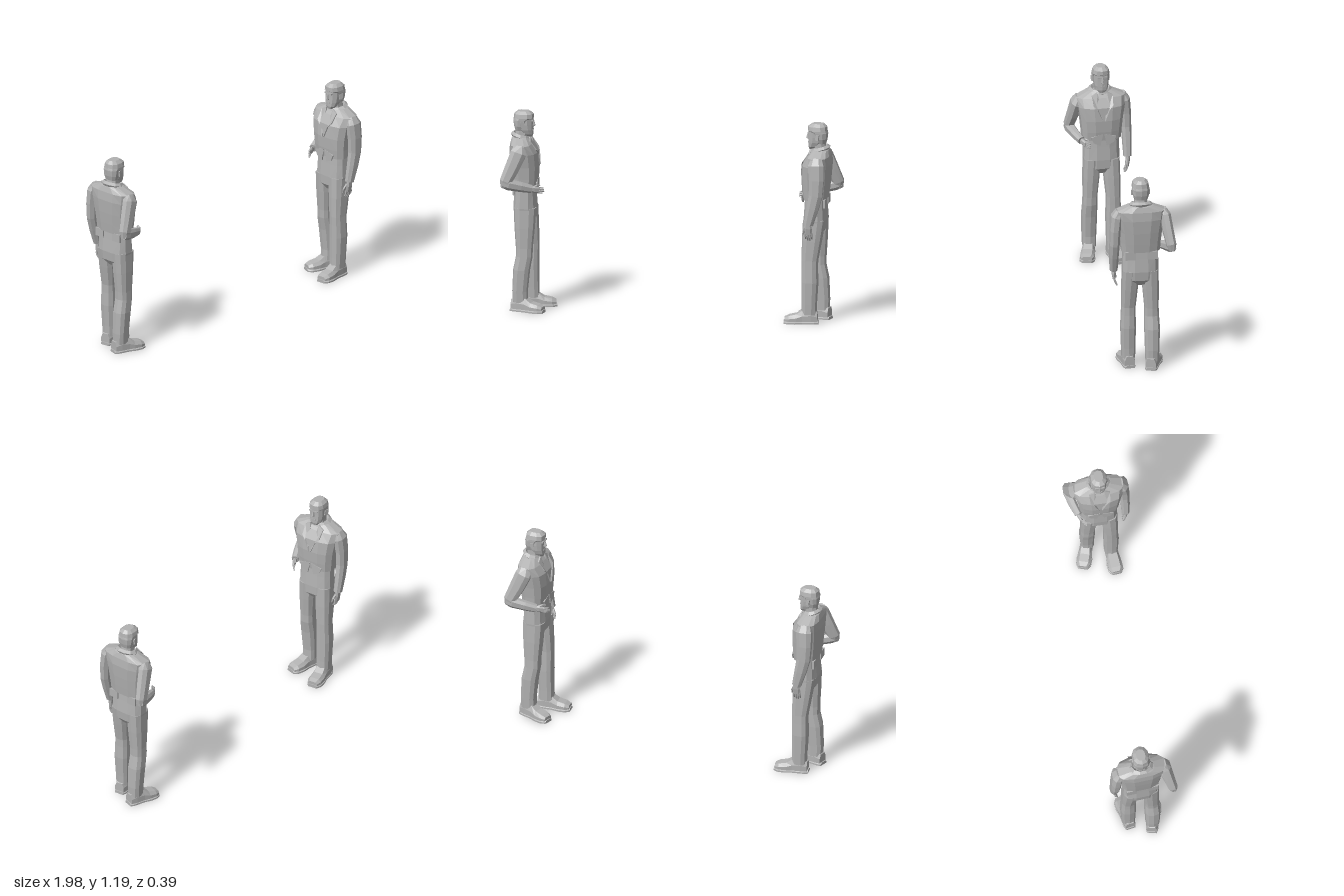
import * as THREE from 'three';

const cloth = new THREE.MeshStandardMaterial({ color: 0xb2b2b2 });
cloth.name = 'plain grey';
cloth.flatShading = true;
cloth.side = THREE.DoubleSide;
const V = (x, y, z) => new THREE.Vector3(x, y, z);

function add(parent, name, geometry, x = 0, y = 0, z = 0) {
  const m = new THREE.Mesh(geometry, cloth);
  m.name = name;
  m.position.set(x, y, z);
  parent.add(m);
  return m;
}

// Closed skin through rings of points, wound so that it faces outward
function skin(rings) {
  const n = rings[0].length, tris = [];
  const centre = (r) => r.reduce((s, p) => s.add(p), V(0, 0, 0)).divideScalar(n);
  for (let i = 0; i < rings.length - 1; i++)
    for (let j = 0; j < n; j++) {
      const k = (j + 1) % n, a = rings[i], b = rings[i + 1];
      tris.push([a[j], a[k], b[k]], [a[j], b[k], b[j]]);
    }
  const first = rings[0], last = rings[rings.length - 1];
  const c0 = centre(first), c1 = centre(last);
  for (let j = 0; j < n; j++) {
    const k = (j + 1) % n;
    tris.push([c0, first[k], first[j]], [c1, last[j], last[k]]);
  }
  const volume = tris.reduce((s, [a, b, c]) => s + a.dot(b.clone().cross(c)), 0);
  const pts = tris.flatMap(([a, b, c]) => (volume < 0 ? [a, c, b] : [a, b, c]));
  const g = new THREE.BufferGeometry().setFromPoints(pts);
  g.computeVertexNormals();
  return g;
}

// Squarish unit outline
function outline(n, power = 0.75) {
  return Array.from({ length: n }, (_, i) => {
    const t = ((i + 0.5) / n) * Math.PI * 2, c = Math.cos(t), s = Math.sin(t);
    return [Math.sign(c) * Math.abs(c) ** power, Math.sign(s) * Math.abs(s) ** power];
  });
}

// Horizontal sections: [y, centre x, centre z, half width, half depth]
const stack = (sections, n = 10, power = 0.75) => skin(sections.map(([y, cx, cz, rx, rz]) =>
  outline(n, power).map(([u, v]) => V(cx + u * rx, y, cz + v * rz))));

// Sections across a bending path: [x, y, z, half width, half depth]
function limb(path, n = 8) {
  const p = path.map(([x, y, z]) => V(x, y, z));
  return skin(path.map(([, , , rw, rd], i) => {
    const dir = p[Math.min(i + 1, p.length - 1)].clone().sub(p[Math.max(i - 1, 0)]).normalize();
    const w = V(1, 0, 0).addScaledVector(dir, -dir.x).normalize();
    const d = dir.clone().cross(w);
    return outline(n, 0.85).map(([u, v]) => p[i].clone().addScaledVector(w, u * rw).addScaledVector(d, v * rd));
  }));
}

// Hand hanging along -y, thumb towards +z; side is the direction of the palm
function makeHand(name, side) {
  const g = new THREE.Group();
  g.name = name;
  add(g, 'palm', limb([[0, 0.01, 0, 0.013, 0.017], [0, -0.02, 0, 0.012, 0.023], [side * 0.004, -0.055, 0, 0.009, 0.023]], 6));
  [0.036, 0.046, 0.043, 0.036].forEach((length, i) => {
    const z = -0.018 + i * 0.012;
    add(g, 'finger', limb([[side * 0.004, -0.05, z, 0.007, 0.006],
      [side * 0.009, -0.05 - length * 0.55, z, 0.006, 0.005],
      [side * 0.02, -0.05 - length, z, 0.004, 0.004]], 4));
  });
  add(g, 'thumb', limb([[side * 0.004, -0.008, 0.014, 0.007, 0.008],
    [side * 0.012, -0.035, 0.03, 0.007, 0.007], [side * 0.02, -0.06, 0.032, 0.004, 0.004]], 5));
  return g;
}

// Shoe with its ankle at the origin and its toe towards +z
function makeShoe(name) {
  const g = new THREE.Group();
  g.name = name;
  const across = (z, w, h, y0 = 0) => [[-w, y0], [w, y0], [w, y0 + (h - y0) * 0.5], [w * 0.65, h], [-w * 0.65, h],
    [-w, y0 + (h - y0) * 0.5]].map(([x, y]) => V(x, y, z));
  add(g, 'upper', skin([across(-0.048, 0.03, 0.07, 0.015), across(-0.01, 0.036, 0.088, 0.015), across(0.04, 0.037, 0.08, 0.015),
    across(0.075, 0.042, 0.057, 0.015), across(0.12, 0.042, 0.047, 0.015), across(0.145, 0.03, 0.036, 0.015)]));
  add(g, 'sole', skin([across(-0.054, 0.028, 0.017), across(-0.03, 0.036, 0.018), across(0.04, 0.037, 0.018),
    across(0.085, 0.046, 0.018), across(0.125, 0.044, 0.018), across(0.15, 0.028, 0.018)]));
  return g;
}

function makeHead() {
  const g = new THREE.Group();
  g.name = 'head';
  add(g, 'neck', stack([[1.01, 0, -0.008, 0.042, 0.04], [1.05, 0, -0.004, 0.038, 0.038], [1.09, 0, 0.002, 0.038, 0.038]], 8));
  add(g, 'face', stack([[1.036, 0, 0.041, 0.018, 0.016], [1.052, 0, 0.03, 0.034, 0.032], [1.078, 0, 0.016, 0.043, 0.046],
    [1.11, 0, 0.009, 0.046, 0.052], [1.15, 0, 0.009, 0.046, 0.052], [1.18, 0, 0.008, 0.035, 0.04]], 10, 0.8));
  add(g, 'hair', stack([[1.072, 0, -0.018, 0.038, 0.026], [1.1, 0, -0.014, 0.048, 0.038], [1.135, 0, -0.006, 0.051, 0.05],
    [1.148, 0, 0.006, 0.051, 0.059], [1.172, 0, 0.007, 0.046, 0.057], [1.189, 0, 0.004, 0.027, 0.036]], 10, 0.8));
  add(g, 'nose', skin([[0.004, 1.132, 0.06, 0.066], [0.01, 1.1, 0.056, 0.075], [0.007, 1.093, 0.055, 0.06]].map(
    ([w, y, back, front]) => [V(-w, y, back), V(w, y, back), V(w * 0.4, y, front), V(-w * 0.4, y, front)])));
  add(g, 'brow', new THREE.BoxGeometry(0.058, 0.008, 0.012), 0, 1.133, 0.057);
  add(g, 'mouth', new THREE.BoxGeometry(0.028, 0.007, 0.008), 0, 1.077, 0.059);
  for (const s of [1, -1]) {
    const ear = add(g, 'ear', new THREE.BoxGeometry(0.009, 0.033, 0.02), s * 0.049, 1.112, 0.002);
    ear.rotation.set(-0.15, s * -0.3, 0);
  }
  return g;
}

function makeMan(name) {
  const man = new THREE.Group();
  man.name = name;
  man.add(makeHead());

  // Jacket, collar, lapels and front opening
  add(man, 'jacket', stack([[0.745, 0, 0.016, 0.116, 0.071], [0.8, 0, 0.016, 0.12, 0.078], [0.87, 0, 0.014, 0.128, 0.084],
    [0.95, 0, 0.008, 0.142, 0.084], [1.003, 0, -0.006, 0.15, 0.066], [1.035, 0, -0.014, 0.075, 0.048],
    [1.042, 0, -0.014, 0.05, 0.04]], 12, 0.7));
  const collar = add(man, 'collar', new THREE.TorusGeometry(0.054, 0.015, 4, 10), 0, 1.038, -0.01);
  collar.rotation.x = Math.PI / 2 + 0.25;
  collar.scale.set(1.05, 0.9, 1);
  for (const s of [1, -1]) {
    add(man, 'lapel', skin([0, 0.008].map((t) => [[0.028, 1.038, 0.04], [0.062, 1.018, 0.044], [0.058, 0.965, 0.082],
      [0.035, 0.94, 0.09], [0.006, 0.87, 0.097]].map(([x, y, z]) => V(s * x, y, z + t)))));
    add(man, 'jacketPoint', skin([0, 0.008].map((t) => [[0.003, 0.79], [0.075, 0.77], [0.06, 0.735], [0.02, 0.715]].map(
      ([x, y]) => V(s * x, y, 0.084 + t)))));
    add(man, 'sideBand', new THREE.BoxGeometry(0.06, 0.05, 0.012), s * 0.065, 0.725, -0.046);
  }

  // Trousers
  add(man, 'hips', stack([[0.77, 0, 0.016, 0.104, 0.06], [0.7, 0, 0.016, 0.106, 0.064], [0.62, 0, 0.016, 0.109, 0.07],
    [0.565, 0, 0.018, 0.104, 0.066], [0.53, 0, 0.018, 0.045, 0.04]], 12));
  for (const [s, knee, ankle, side] of [[1, 0.042, 0.045, 'left'], [-1, 0.015, -0.01, 'right']]) {
    add(man, side + 'Leg', stack([[0.62, s * 0.056, 0.018, 0.051, 0.067], [0.5, s * 0.061, (knee + 0.018) / 2, 0.048, 0.06],
      [0.38, s * 0.066, knee, 0.042, 0.05], [0.33, s * 0.067, knee, 0.043, 0.049],
      [0.25, s * 0.068, (knee + ankle) / 2 - 0.003, 0.046, 0.05], [0.12, s * 0.067, ankle, 0.042, 0.046],
      [0.055, s * 0.066, ankle + 0.002, 0.04, 0.046]], 10));
    const shoe = makeShoe(side + 'Shoe');
    shoe.position.set(s * 0.067, 0, ankle);
    shoe.rotation.y = s > 0 ? 0.1 : -0.3;
    man.add(shoe);
  }

  // Left arm hanging at the side
  add(man, 'leftSleeve', limb([[0.125, 1.0, -0.008, 0.026, 0.035], [0.143, 0.965, -0.008, 0.034, 0.05],
    [0.152, 0.88, -0.012, 0.032, 0.046], [0.155, 0.79, -0.008, 0.03, 0.042], [0.156, 0.71, 0.01, 0.028, 0.037],
    [0.155, 0.615, 0.034, 0.024, 0.028]]));
  const leftHand = makeHand('leftHand', -1);
  leftHand.position.set(0.155, 0.61, 0.036);
  man.add(leftHand);

  // Right arm bent with the hand in front of the hip
  add(man, 'rightUpperSleeve', limb([[-0.125, 1.0, -0.008, 0.026, 0.035], [-0.142, 0.965, -0.012, 0.034, 0.05],
    [-0.155, 0.88, -0.048, 0.033, 0.046], [-0.17, 0.8, -0.085, 0.03, 0.038], [-0.174, 0.765, -0.09, 0.02, 0.026]]));
  add(man, 'rightForearm', limb([[-0.176, 0.79, -0.105, 0.022, 0.026], [-0.17, 0.783, -0.07, 0.029, 0.034],
    [-0.15, 0.765, 0, 0.026, 0.03], [-0.127, 0.748, 0.062, 0.022, 0.024]]));
  const rightHand = makeHand('rightHand', 1);
  const down = V(0.025, -0.018, 0.08).normalize();
  const up = V(0, 1, 0).addScaledVector(down, -down.y).normalize();
  const along = down.clone().negate();
  rightHand.quaternion.setFromRotationMatrix(new THREE.Matrix4().makeBasis(along.clone().cross(up), along, up));
  rightHand.position.set(-0.127, 0.747, 0.062);
  rightHand.scale.setScalar(0.85);
  man.add(rightHand);
  return man;
}

export function createModel() {
  const model = new THREE.Group();
  model.name = 'facingMen';
  // Two men facing each other
  const a = makeMan('manOnRight');
  a.position.set(0.874, 0, 0.003);
  a.rotation.y = -Math.PI / 2;
  const b = makeMan('manOnLeft');
  b.position.set(-0.885, 0, -0.01);
  b.rotation.y = Math.PI / 2 + 0.08;
  model.add(a, b);
  return model;
}
